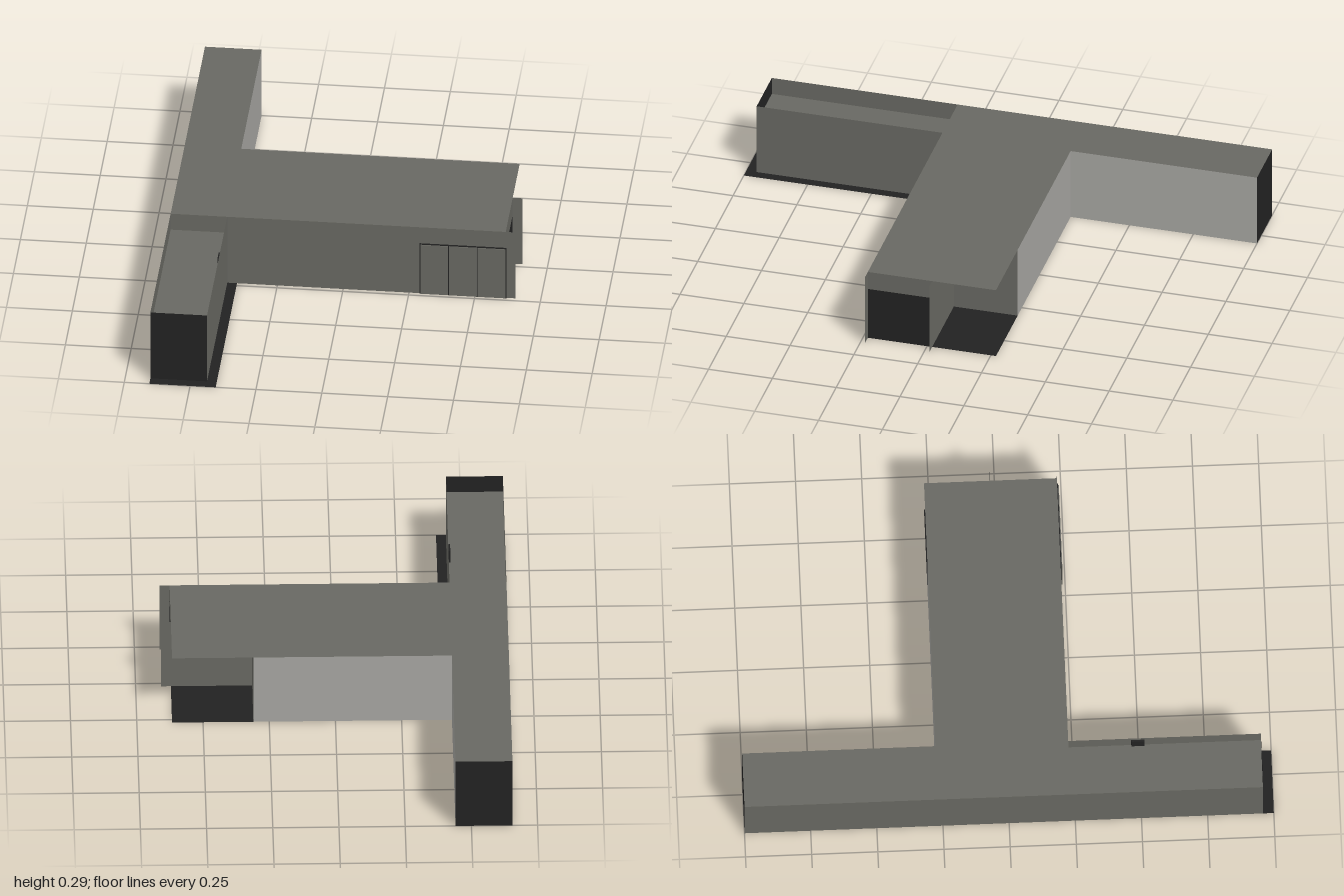
import * as THREE from 'three';

const mat = (name, color) =>
  Object.assign(new THREE.MeshStandardMaterial({ color, side: THREE.DoubleSide }), { name });

export function createModel() {
  const model = new THREE.Group();
  model.name = 'corridorBuilding';
  const grey = mat('wall grey', 0x686862);
  const light = mat('pale grey', 0xa6a5a1);
  const dark = mat('near black', 0x222222);

  const H = 0.29, LOW = 0.22;           // roof and lowered ceiling heights
  const X0 = -0.655, X1 = -0.44;        // corridor sides
  const ARM = 0.617, LIP = 0.655, BAY = 0.31;
  const ZB = -0.27, ZM = -0.02, ZF = 0.232, ZE = 0.96;

  const add = (name, geometry, material) => {
    const m = new THREE.Mesh(geometry, material);
    m.name = name;
    model.add(m);
    return m;
  };
  // Thin wall across x, facing +z
  const wallZ = (name, material, xa, xb, z, ya = 0, yb = H) =>
    add(name, new THREE.PlaneGeometry(xb - xa, yb - ya), material)
      .position.set((xa + xb) / 2, (ya + yb) / 2, z);
  // Thin wall along z, facing +x
  const wallX = (name, material, za, zb, x, ya = 0, yb = H) => {
    const g = new THREE.PlaneGeometry(zb - za, yb - ya).rotateY(Math.PI / 2);
    add(name, g, material).position.set(x, (ya + yb) / 2, (za + zb) / 2);
  };
  // Horizontal slab outline from [x, z] corners
  const slab = (name, material, pts, y) => {
    const shape = new THREE.Shape(pts.map(([x, z]) => new THREE.Vector2(x, -z)));
    add(name, new THREE.ShapeGeometry(shape).rotateX(-Math.PI / 2), material).position.y = y;
  };
  const box = (name, material, x, y, z, w, h, d) =>
    add(name, new THREE.BoxGeometry(w, h, d), material).position.set(x, y, z);

  // Roof, ceiling and floors
  slab('roof', grey, [[X0, ZF], [ARM, ZF], [ARM, ZB], [X1, ZB], [X1, -1], [X0, -1]], H);
  slab('frontCorridorCeiling', grey, [[X0, ZE], [X1, ZE], [X1, ZF], [X0, ZF]], LOW);
  slab('darkFloor', dark, [[X0, 1], [-0.403, 1], [-0.403, ZF], [ARM, ZF], [ARM, ZB], [X0, ZB]], 0);
  slab('backCorridorFloor', light, [[X0, ZB], [X1, ZB], [X1, -1], [X0, -1]], 0);

  // Long corridor walls
  wallX('outerWall', grey, -1, ZE, X0);
  wallX('frontCorridorWall', grey, ZF, ZE, X1);
  wallX('backCorridorWall', light, -1, ZB, X1);
  wallZ('frontEndWall', dark, X0, X1, ZE);
  wallZ('backEndWall', dark, X0, X1, -1);
  wallZ('ceilingStep', grey, X0, X1, ZF, LOW, H);

  // Side arm with a recessed bay at its far end
  wallZ('armFrontWall', grey, X1, LIP, ZF);
  wallZ('armBackWall', light, X1, BAY, ZB);
  wallX('bayEndWall', grey, ZB, ZM, BAY);
  wallZ('baySideWall', grey, BAY, LIP, ZM);
  wallX('endDoor', dark, ZM, ZF + 0.008, ARM, 0, 0.215);
  wallX('endDoorHeader', grey, ZM, ZF, ARM, 0.215, H);

  // Three front door panels on a dark backing
  box('doorBacking', dark, 0.455, 0.11, ZF + 0.002, 0.33, 0.22, 0.004);
  for (let i = 0; i < 3; i++)
    box('doorPanel', grey, 0.346 + i * 0.109, 0.109, ZF + 0.005, 0.105, 0.214, 0.005);

  // Small fitting inside the front corridor wall
  box('wallFitting', dark, X1 - 0.004, 0.25, 0.495, 0.007, 0.05, 0.05);

  return model;
}
